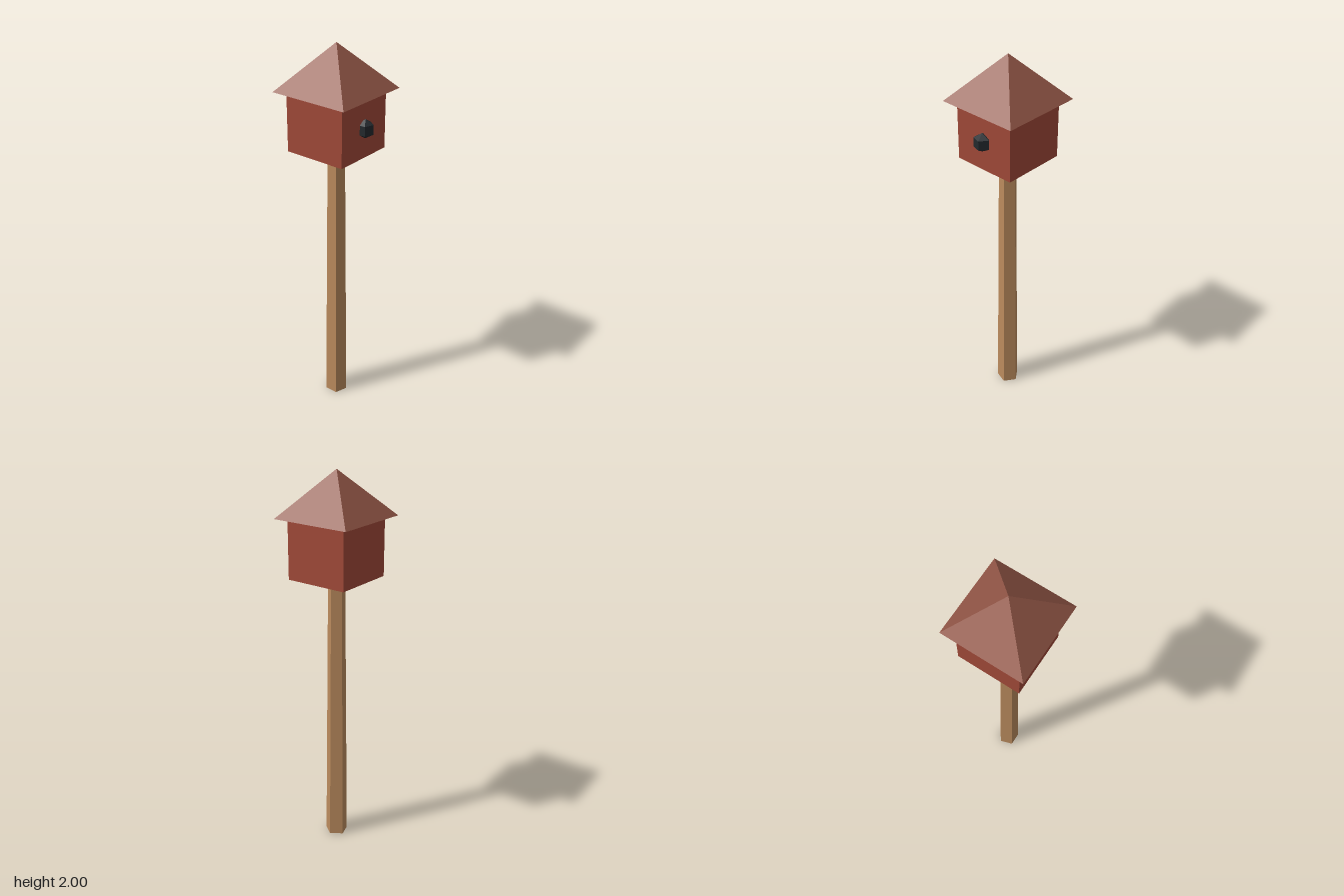
import * as THREE from 'three';

const material = (name, color) => {
  const m = new THREE.MeshStandardMaterial({ color });
  m.name = name;
  return m;
};

// Faceted mesh: split the corners so every face gets its own normal
function addPart(group, name, geometry, mat, x, y, z) {
  const faceted = geometry.toNonIndexed();
  faceted.computeVertexNormals();
  const mesh = new THREE.Mesh(faceted, mat);
  mesh.name = name;
  mesh.position.set(x, y, z);
  group.add(mesh);
}

export function createModel() {
  const group = new THREE.Group();
  group.name = 'birdhouse';

  const wood = material('post wood', 0xbb8b5d);
  const red = material('red wall paint', 0xa04938);
  const brown = material('brown roof', 0x925646);
  const dark = material('dark entrance', 0x23292d);

  const floorY = 1.467, eavesY = 1.77, topY = 2;
  const wallH = eavesY - floorY, roofH = topY - eavesY;

  // Tapered five-sided post with one corner towards +x
  addPart(group, 'post',
    new THREE.CylinderGeometry(0.045, 0.06, floorY, 5, 1, false, Math.PI / 2),
    wood, 0, floorY / 2, 0);

  // Box-shaped house
  addPart(group, 'house',
    new THREE.BoxGeometry(0.335, wallH, 0.335),
    red, 0, floorY + wallH / 2, 0);

  // Pyramid roof with a flat underside
  addPart(group, 'roof',
    new THREE.ConeGeometry(0.2135 * Math.SQRT2, roofH, 4, 1, false, Math.PI / 4),
    brown, 0, eavesY + roofH / 2, 0);

  // Coarse dark ball marking the entrance, half sunk into the front wall
  addPart(group, 'entrance',
    new THREE.SphereGeometry(0.048, 5, 3, Math.PI),
    dark, 0, 1.618, 0.174);

  return group;
}
